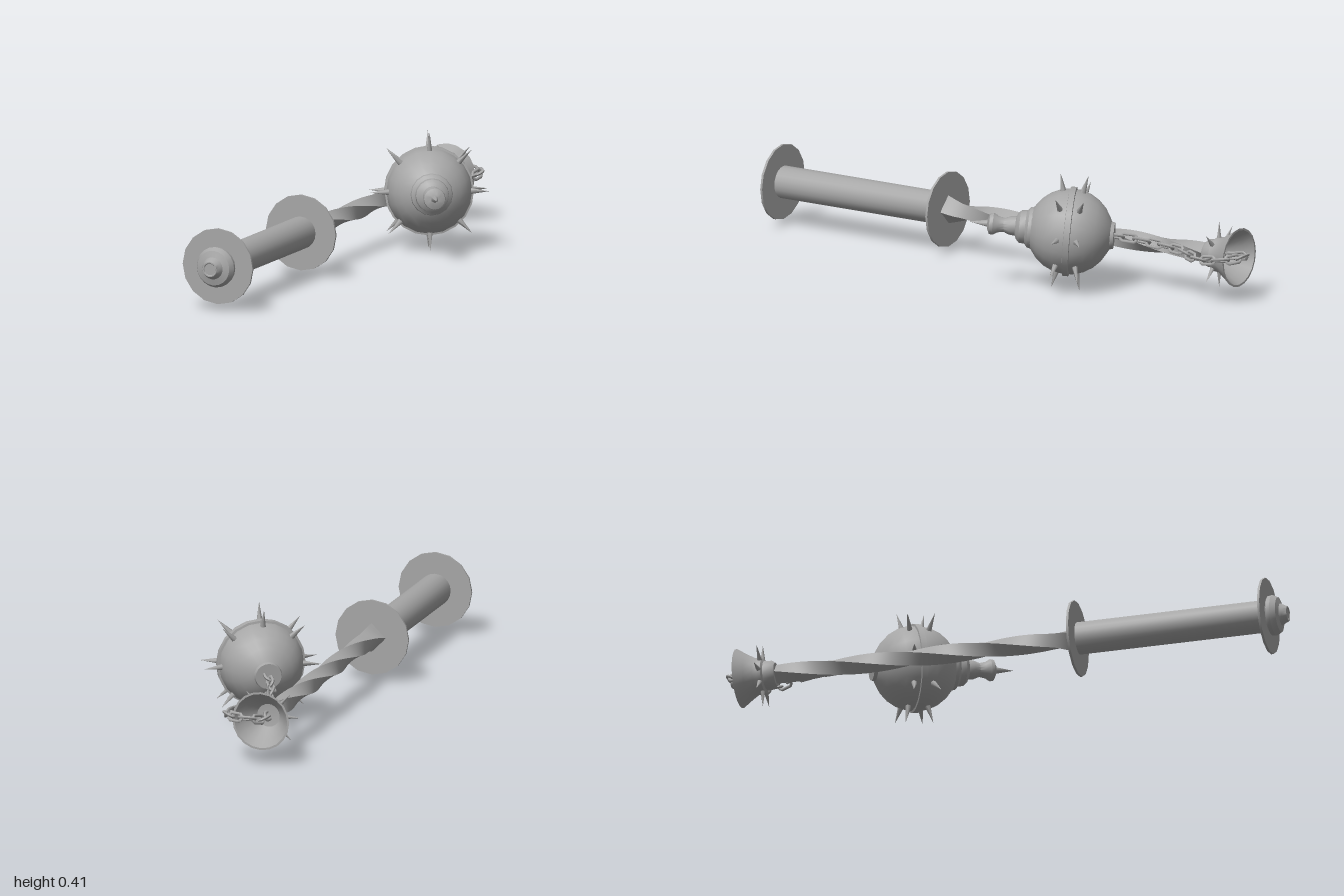
import * as THREE from 'three';
import { toCreasedNormals } from 'three/addons/utils/BufferGeometryUtils.js';

const steel = new THREE.MeshStandardMaterial({ color: 0xa6a6a6 });
steel.name = 'steel';

const Y = new THREE.Vector3(0, 1, 0);

function part(name, geometry, parent) {
  const mesh = new THREE.Mesh(geometry, steel);
  mesh.name = name;
  parent.add(mesh);
  return mesh;
}

// Lathe from [radius, height] pairs, keeping sharp corners
function turned(pairs, sides) {
  const points = pairs.map(([r, h]) => new THREE.Vector2(r, h));
  return toCreasedNormals(new THREE.LatheGeometry(points, sides), 0.6);
}

// Four-sided-looking thorn standing on a surface along a direction
function spike(name, from, dir, length, radius, parent) {
  const mesh = part(name, new THREE.ConeGeometry(radius, length, 6), parent);
  mesh.position.copy(from).addScaledVector(dir, length / 2);
  mesh.quaternion.setFromUnitVectors(Y, dir);
}

// Square bar twisted one full turn, flared where it meets the guard
function twistedShaft() {
  const length = 1.08;
  const geo = new THREE.BoxGeometry(0.047, 0.047, length, 1, 1, 60);
  const p = geo.attributes.position;
  for (let i = 0; i < p.count; i++) {
    const z = p.getZ(i);
    const flare = 1 + 0.5 * Math.max(0, 1 - (length / 2 - z) / 0.08);
    const angle = (z / length) * Math.PI * 2 + Math.PI / 4;
    const x = p.getX(i) * flare, y = p.getY(i) * flare;
    p.setXY(i, x * Math.cos(angle) - y * Math.sin(angle), x * Math.sin(angle) + y * Math.cos(angle));
  }
  return toCreasedNormals(geo, 0.6);
}

// Oval chain link, long along x
function linkGeometry() {
  const geo = new THREE.TorusGeometry(0.014, 0.0055, 6, 10);
  const p = geo.attributes.position;
  for (let i = 0; i < p.count; i++) p.setX(i, p.getX(i) + Math.sign(p.getX(i)) * 0.015);
  geo.computeVertexNormals();
  return geo;
}

function createHandle() {
  const handle = new THREE.Group();
  handle.name = 'handle';
  handle.position.set(-0.13, 0.155, 0);

  // Turned parts run along y and are laid down so that y becomes z
  const lay = (name, pairs, sides) => {
    part(name, turned(pairs, sides), handle).rotation.x = Math.PI / 2;
  };
  lay('grip', [[0, 0.26], [0.056, 0.26], [0.056, 0.93], [0, 0.93]], 20);
  for (const z of [0.255, 0.93]) {
    lay('guardDisc', [[0, z - 0.004], [0.131, z - 0.004], [0.131, z + 0.004], [0, z + 0.004]], 16);
  }
  lay('pommel', [[0.055, 0.93], [0.068, 0.938], [0.07, 0.952], [0.06, 0.97], [0.038, 0.976],
    [0.033, 0.985], [0.026, 1], [0.022, 1], [0.02, 0.997], [0, 0.997]], 20);

  part('twistedShaft', twistedShaft(), handle).position.z = -0.285;

  // Open flared cup at the far end
  lay('cup', [[0, -0.85], [0.04, -0.855], [0.058, -0.88], [0.075, -0.905], [0.095, -0.938],
    [0.102, -0.938], [0.08, -0.905], [0.064, -0.878], [0.06, -0.862], [0.06, -0.85],
    [0.05, -0.845], [0.048, -0.82], [0.04, -0.808], [0, -0.808]], 20);
  for (let i = 0; i < 8; i++) {
    const a = (i / 8) * Math.PI * 2;
    const dir = new THREE.Vector3(Math.cos(a), Math.sin(a), 0);
    const from = dir.clone().multiplyScalar(0.055).setZ(-0.856);
    spike('cupSpike', from, dir, 0.06, 0.009, handle);
  }
  return handle;
}

function createBall() {
  const ball = new THREE.Group();
  ball.name = 'spikedBall';
  ball.position.set(0.06, 0.207, -0.372);
  // Local y is the axis from chain to nose; local z stays close to world up
  const axis = new THREE.Vector3(0.48, 0.08, 0.875).normalize();
  const side = new THREE.Vector3().crossVectors(axis, Y).normalize();
  const up = new THREE.Vector3().crossVectors(side, axis);
  ball.quaternion.setFromRotationMatrix(new THREE.Matrix4().makeBasis(side, axis, up));

  // Sphere with a plate at the chain end
  const R = 0.147;
  const sphere = [[0, -0.152], [0.045, -0.152], [0.048, -0.14]];
  for (let a = -66; a <= 60; a += 14) {
    const t = THREE.MathUtils.degToRad(a);
    sphere.push([R * Math.cos(t), R * Math.sin(t)]);
  }
  sphere.push([0.07, 0.13], [0, 0.14]);
  part('ball', turned(sphere, 20), ball);
  part('belt', turned([[0.143, -0.012], [0.153, -0.01], [0.153, 0.01], [0.143, 0.012]], 20), ball);

  // Stepped nose and flared knob
  part('nose', turned([[0.074, 0.12], [0.07, 0.14], [0.058, 0.15], [0.056, 0.17], [0.045, 0.18],
    [0.034, 0.185], [0.032, 0.205], [0.024, 0.225], [0.028, 0.245], [0.038, 0.262],
    [0.036, 0.274], [0.018, 0.282], [0, 0.282]], 16), ball);
  spike('noseSpike', new THREE.Vector3(0, 0.275, 0), Y, 0.07, 0.014, ball);

  // A ring of spikes on each side of the belt
  for (const lean of [-0.24, 0.24]) {
    for (let i = 0; i < 8; i++) {
      const a = (i / 8) * Math.PI * 2;
      const dir = new THREE.Vector3(Math.sin(a), lean, Math.cos(a)).normalize();
      spike('ballSpike', dir.clone().multiplyScalar(0.135), dir, 0.073, 0.012, ball);
    }
  }
  return ball;
}

function createChain() {
  const chain = new THREE.Group();
  chain.name = 'chain';
  const path = new THREE.CatmullRomCurve3([
    [-0.13, 0.155, -0.86], [-0.13, 0.16, -0.93], [-0.11, 0.17, -0.972], [-0.045, 0.17, -0.965],
    [-0.004, 0.168, -0.915], [-0.012, 0.163, -0.84], [-0.06, 0.168, -0.74],
    [-0.066, 0.175, -0.635], [-0.04, 0.187, -0.565], [-0.012, 0.195, -0.51],
  ].map(p => new THREE.Vector3(...p)));
  const geo = linkGeometry();
  const count = Math.round(path.getLength() / 0.047);
  const X = new THREE.Vector3(1, 0, 0);
  for (let i = 0; i <= count; i++) {
    const link = part('chainLink', geo, chain);
    link.position.copy(path.getPointAt(i / count));
    link.quaternion.setFromUnitVectors(X, path.getTangentAt(i / count));
    link.rotateX((i % 2) * Math.PI / 2 + 0.5);
  }
  return chain;
}

export function createModel() {
  const flail = new THREE.Group();
  flail.name = 'flail';
  flail.add(createHandle(), createBall(), createChain());
  return flail;
}
